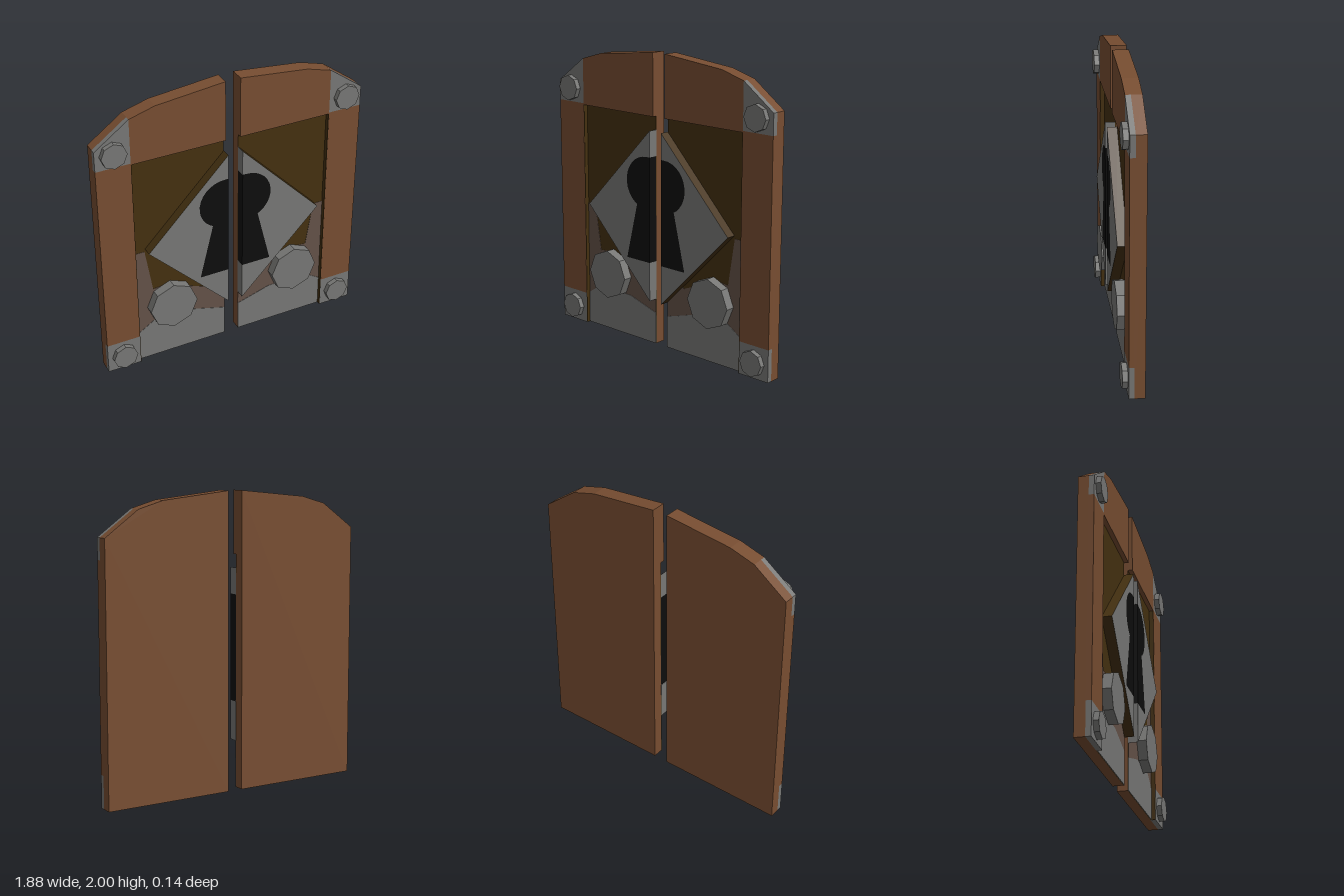
import * as THREE from 'three';

const paint = (name, color) => {
  const m = new THREE.MeshStandardMaterial({ color });
  m.name = name;
  return m;
};

export function createModel() {
  const wood = paint('wood', 0x774d31);
  const metal = paint('grey metal', 0x777775);
  const olive = paint('dark olive', 0x443010);
  const taupe = paint('worn taupe', 0x645248);
  const black = paint('keyhole black', 0x0d0d0d);

  const IN = 0.052, OUT = 0.94, RAIL = 0.705;   // inner edge, outer edge, inside of stile
  const BACK = -0.07, PANEL = 0.004, FRAME = 0.035, FRONT = 0.07;

  const makeDoor = (side, name) => {
    const door = new THREE.Group();
    door.name = name;

    const add = (partName, geometry, material) => {
      const mesh = new THREE.Mesh(geometry, material);
      mesh.name = partName;
      door.add(mesh);
    };
    // Extrude an outline from z0 to z1, mirrored for the other door
    const plate = (partName, points, z0, z1, material) => {
      const shape = new THREE.Shape(points.map(([x, y]) => new THREE.Vector2(x * side, y)));
      const geometry = new THREE.ExtrudeGeometry(shape, { depth: z1 - z0, bevelEnabled: false });
      add(partName, geometry.translate(0, 0, z0), material);
    };
    const rect = (x0, y0, x1, y1) => [[x0, y0], [x1, y0], [x1, y1], [x0, y1]];
    const bolt = (partName, x, y, r, z0) => {
      const geometry = new THREE.CylinderGeometry(r, r, FRONT - z0, 8).toNonIndexed();
      geometry.computeVertexNormals();
      geometry.rotateX(Math.PI / 2).translate(x * side, y, (FRONT + z0) / 2);
      add(partName, geometry, metal);
    };

    // Backing board with the arched top
    plate('backBoard', [[IN, 0], [OUT, 0], [OUT, 1.73], [RAIL, 1.9], [0.53, 1.95], [IN, 2]],
      BACK, 0, wood);

    // Raised frame
    plate('topRail', [[IN, 1.58], [RAIL, 1.58], [RAIL, 1.9], [0.53, 1.95], [IN, 2]], 0, FRAME, wood);
    plate('stile', rect(RAIL, 0.22, OUT, 1.59), 0, FRAME, wood);
    plate('lowerBracket', rect(RAIL, 0, OUT, 0.22), 0, FRAME, metal);
    plate('upperBracket', [[RAIL, 1.59], [OUT, 1.59], [OUT, 1.73], [RAIL, 1.9]], 0, FRAME, metal);
    plate('stileLiner', rect(RAIL - 0.004, 0, RAIL, 1.58), 0, FRAME - 0.001, olive);

    // Recessed panel and its painted lower areas
    plate('panel', rect(IN, 0, RAIL, 1.58), 0, PANEL, olive);
    plate('wornArea', [[IN, 0.2], [RAIL, 0.2], [RAIL, 0.88], [0.63, 0.88], [0.58, 0.56], [0.46, 0.57],
      [0.3, 0.49], [0.2, 0.45], [IN, 0.6]], PANEL, PANEL + 0.002, taupe);
    plate('kickPlate', [[IN, 0], [RAIL, 0], [RAIL, 0.22], [0.58, 0.3], [0.29, 0.29], [IN, 0.22]],
      PANEL, PANEL + 0.004, metal);

    // Keyhole outline: round head above a flared slot
    const keyhole = [[IN, 0.59], [0.26, 0.59], [0.165, 0.98]];
    for (let i = 0; i <= 12; i++) {
      const a = THREE.MathUtils.lerp(-0.95, 1.6, i / 12);
      keyhole.push([0.08 + 0.18 * Math.cos(a), 1.135 + 0.178 * Math.sin(a)]);
    }
    keyhole.push([IN, 1.313]);

    // Half of the diamond lock, notched for the keyhole
    const lock = [[IN, 0.32], [0.625, 0.9], [IN, 1.49], ...[...keyhole].reverse()];
    plate('lockPlate', lock, PANEL, FRONT, [metal, olive]);
    plate('keyhole', keyhole, PANEL, FRONT, black);
    plate('lockEdgeLower', rect(IN - 0.001, 0.32, IN, 0.59), PANEL, FRONT, metal);
    plate('lockEdgeUpper', rect(IN - 0.001, 1.313, IN, 1.49), PANEL, FRONT, metal);

    // Octagonal bolts
    bolt('largeBolt', 0.457, 0.42, 0.17, PANEL);
    bolt('upperBolt', 0.822, 1.688, 0.087, FRAME);
    bolt('lowerBolt', 0.822, 0.107, 0.087, FRAME);
    return door;
  };

  const model = new THREE.Group();
  model.name = 'doubleDoor';
  model.add(makeDoor(1, 'leftDoor'), makeDoor(-1, 'rightDoor'));
  return model;
}
